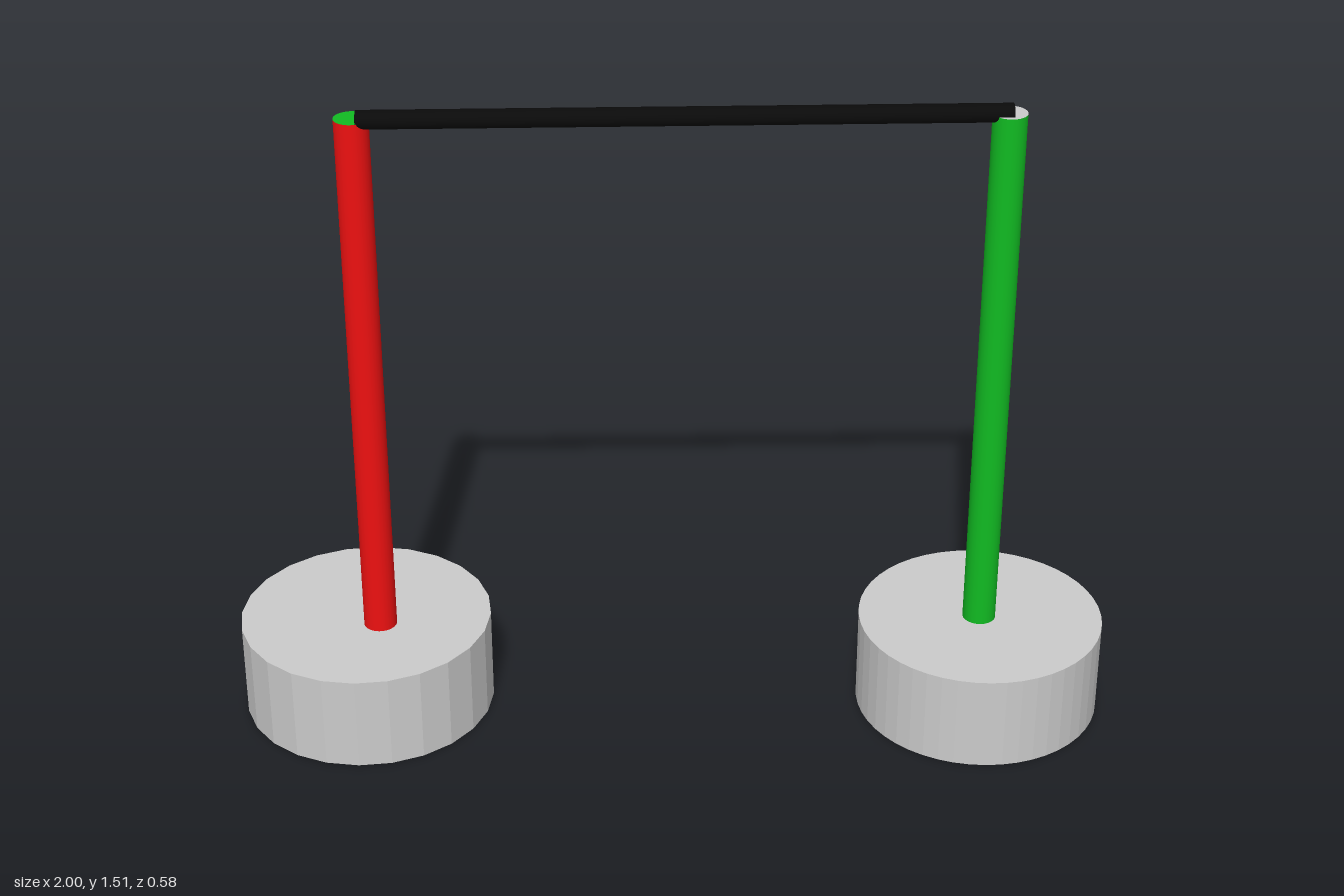
import * as THREE from 'three';

const SIDES = 24;
const BASE_H = 0.225;
const POLE_TOP = 1.487;

const paint = (color) => new THREE.MeshStandardMaterial({ color });
const grey = new THREE.MeshStandardMaterial({ color: 0xcccccc, flatShading: true });
const red = paint(0xee1111);
const green = paint(0x11bb22);
const black = paint(0x0a0a0a);

function add(group, name, geometry, material, x, y, z) {
  const mesh = new THREE.Mesh(geometry, material);
  mesh.name = name;
  mesh.position.set(x, y, z);
  group.add(mesh);
  return mesh;
}

// Upright pole standing on a base, with its top cap in its own colour
function addPole(group, name, x, z, side, cap) {
  const h = POLE_TOP - BASE_H;
  const geometry = new THREE.CylinderGeometry(0.038, 0.038, h, SIDES);
  add(group, name, geometry, [side, cap, side], x, BASE_H + h / 2, z);
}

export function createModel() {
  const model = new THREE.Group();

  // Solid base on the right
  add(model, 'rightBase', new THREE.CylinderGeometry(0.29, 0.29, BASE_H, SIDES),
    grey, -0.71, BASE_H / 2, -0.003);

  // Base on the left, bored through below its pole
  const ring = new THREE.Shape().absarc(0, 0, 0.282, 0, Math.PI * 2);
  ring.holes.push(new THREE.Path().absarc(0, 0, 0.035, 0, Math.PI * 2, true));
  const bored = new THREE.ExtrudeGeometry(ring, {
    depth: BASE_H, bevelEnabled: false, curveSegments: SIDES,
  });
  bored.rotateX(-Math.PI / 2);
  add(model, 'leftBase', bored, grey, 0.718, 0, -0.003);

  // Poles
  addPole(model, 'rightPole', -0.673, 0.037, red, green);
  addPole(model, 'leftPole', 0.715, 0, green, grey);

  // Crossbar, slightly wider than tall, resting across the pole tops
  const start = new THREE.Vector3(-0.662, 1.488, 0.048);
  const end = new THREE.Vector3(0.722, 1.488, 0.002);
  const span = end.clone().sub(start);
  const barGeometry = new THREE.CylinderGeometry(0.02, 0.02, span.length(), SIDES);
  barGeometry.scale(1, 1, 1.2);
  barGeometry.rotateZ(-Math.PI / 2);
  const mid = start.clone().add(end).multiplyScalar(0.5);
  const bar = add(model, 'crossbar', barGeometry, [black, grey, black], mid.x, mid.y, mid.z);
  bar.rotation.y = -Math.atan2(span.z, span.x);

  return model;
}
